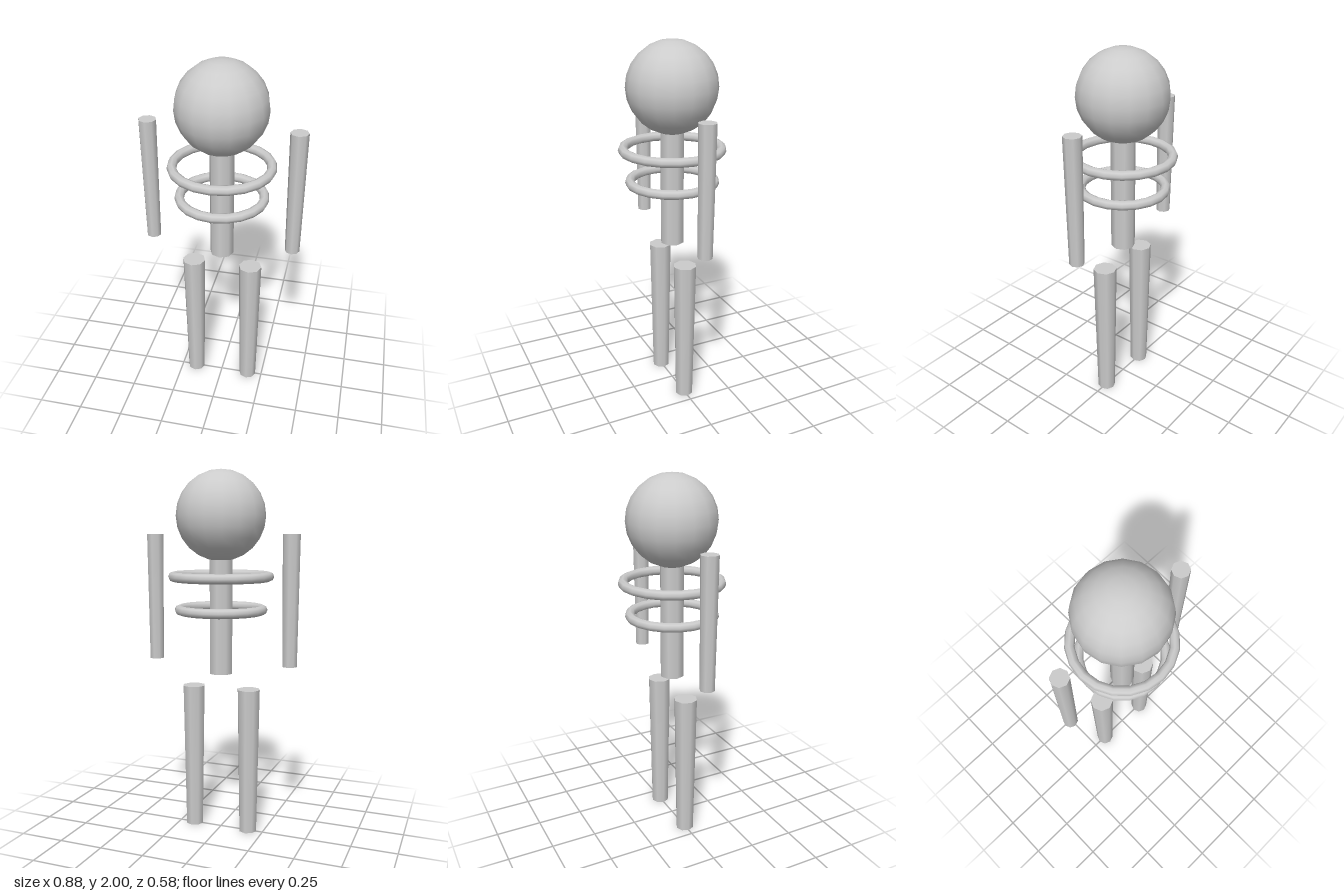
import * as THREE from 'three';

export function createModel() {
  const model = new THREE.Group();
  const material = new THREE.MeshStandardMaterial({ color: 0xcccccc });

  function add(name, geometry, x, y) {
    const mesh = new THREE.Mesh(geometry, material);
    mesh.name = name;
    mesh.position.set(x, y, 0);
    model.add(mesh);
    return mesh;
  }

  // Capped eight-sided post running from y0 up to y1
  function post(name, x, y0, y1, rTop, rBottom) {
    add(name, new THREE.CylinderGeometry(rTop, rBottom, y1 - y0, 8), x, (y0 + y1) / 2);
  }

  // Horizontal rib hoop around the spine
  function hoop(name, y, radius) {
    add(name, new THREE.TorusGeometry(radius, 0.026, 8, 20), 0, y).rotation.x = Math.PI / 2;
  }

  add('head', new THREE.SphereGeometry(0.242, 16, 12), 0, 1.758);
  post('spine', 0, 0.9, 1.55, 0.066, 0.066);
  hoop('upperRib', 1.434, 0.262);
  hoop('lowerRib', 1.254, 0.228);

  // Tapered limbs, mirrored left and right
  for (const [side, s] of [['left', 1], ['right', -1]]) {
    post(side + 'Arm', s * 0.392, 0.963, 1.66, 0.048, 0.04);
    post(side + 'Leg', s * 0.163, 0, 0.82, 0.064, 0.05);
  }

  return model;
}
